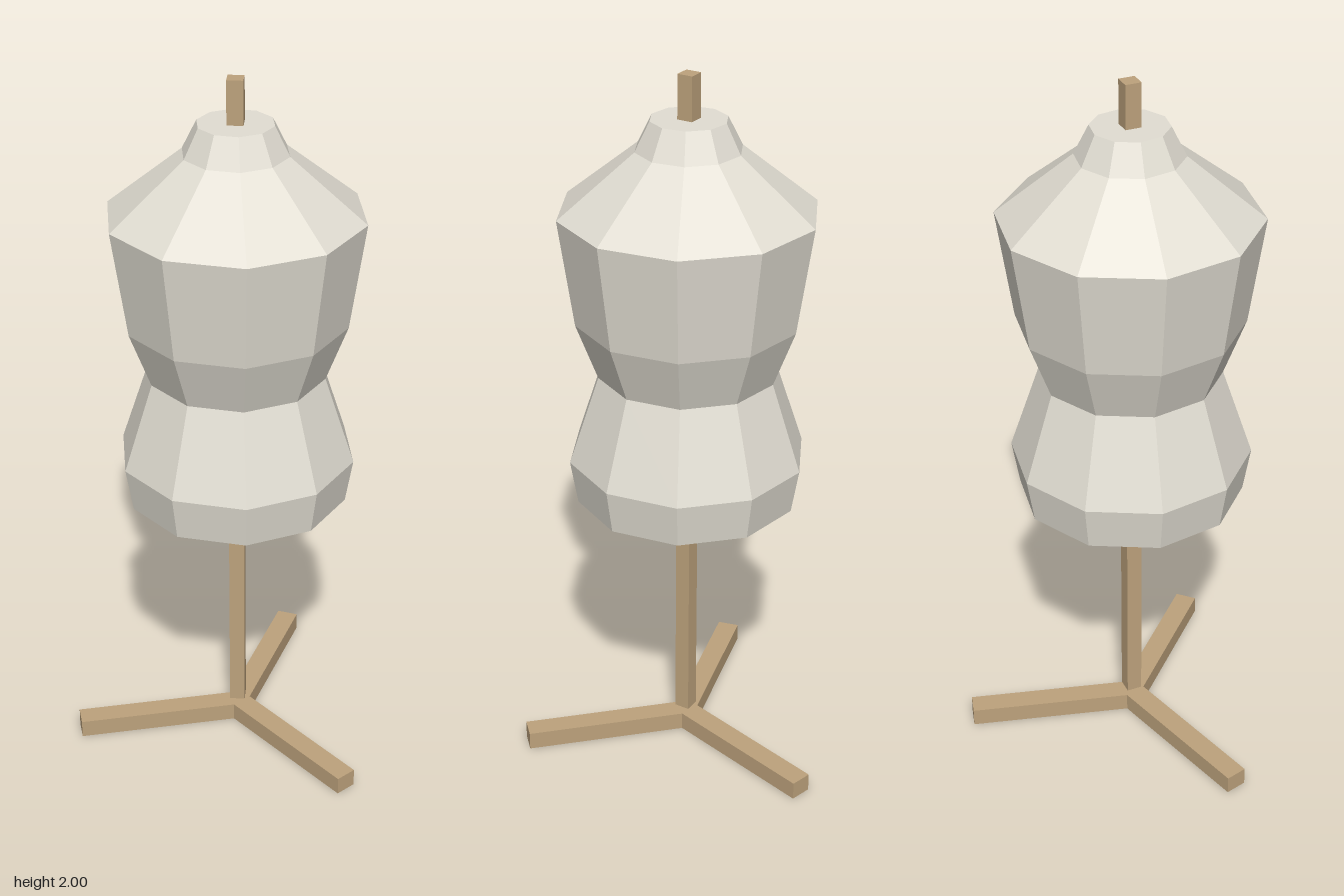
import * as THREE from 'three';

export function createModel() {
  const model = new THREE.Group();
  model.name = 'dressForm';
  const fabric = new THREE.MeshStandardMaterial({ color: 0xe2ded3, flatShading: true });
  const wood = new THREE.MeshStandardMaterial({ color: 0xbda27c, flatShading: true });

  // Everything is arranged around the pole axis, which sits off centre
  const stand = new THREE.Group();
  stand.name = 'stand';
  stand.position.x = -0.063;
  model.add(stand);

  const add = (name, geometry, material) => {
    const mesh = new THREE.Mesh(geometry, material);
    mesh.name = name;
    stand.add(mesh);
    return mesh;
  };

  // Ten-sided torso, closed at the hem and the neck, with a corner on +x
  const profile = [
    [0, 0.795], [0.31, 0.795], [0.331, 0.92], [0.248, 1.17], [0.308, 1.33],
    [0.352, 1.63], [0.144, 1.8], [0.104, 1.88], [0, 1.88],
  ].map(([r, y]) => new THREE.Vector2(r, y));
  add('torso', new THREE.LatheGeometry(profile, 10, Math.PI / 2), fabric);

  // Square pole, turned corner-forward
  const poleBottom = 0.066;
  const poleHeight = 2 - poleBottom;
  add('pole', new THREE.CylinderGeometry(0.031, 0.031, poleHeight, 4), wood)
    .position.y = poleBottom + poleHeight / 2;

  // Three flat feet meeting under the pole
  const footLength = 0.476;
  const footGeometry = new THREE.BoxGeometry(footLength, 0.052, 0.062)
    .translate(footLength / 2, 0.026, 0);
  for (let i = 0; i < 3; i++) {
    add('foot' + (i + 1), footGeometry, wood).rotation.y = (i * 2 * Math.PI) / 3;
  }

  return model;
}
